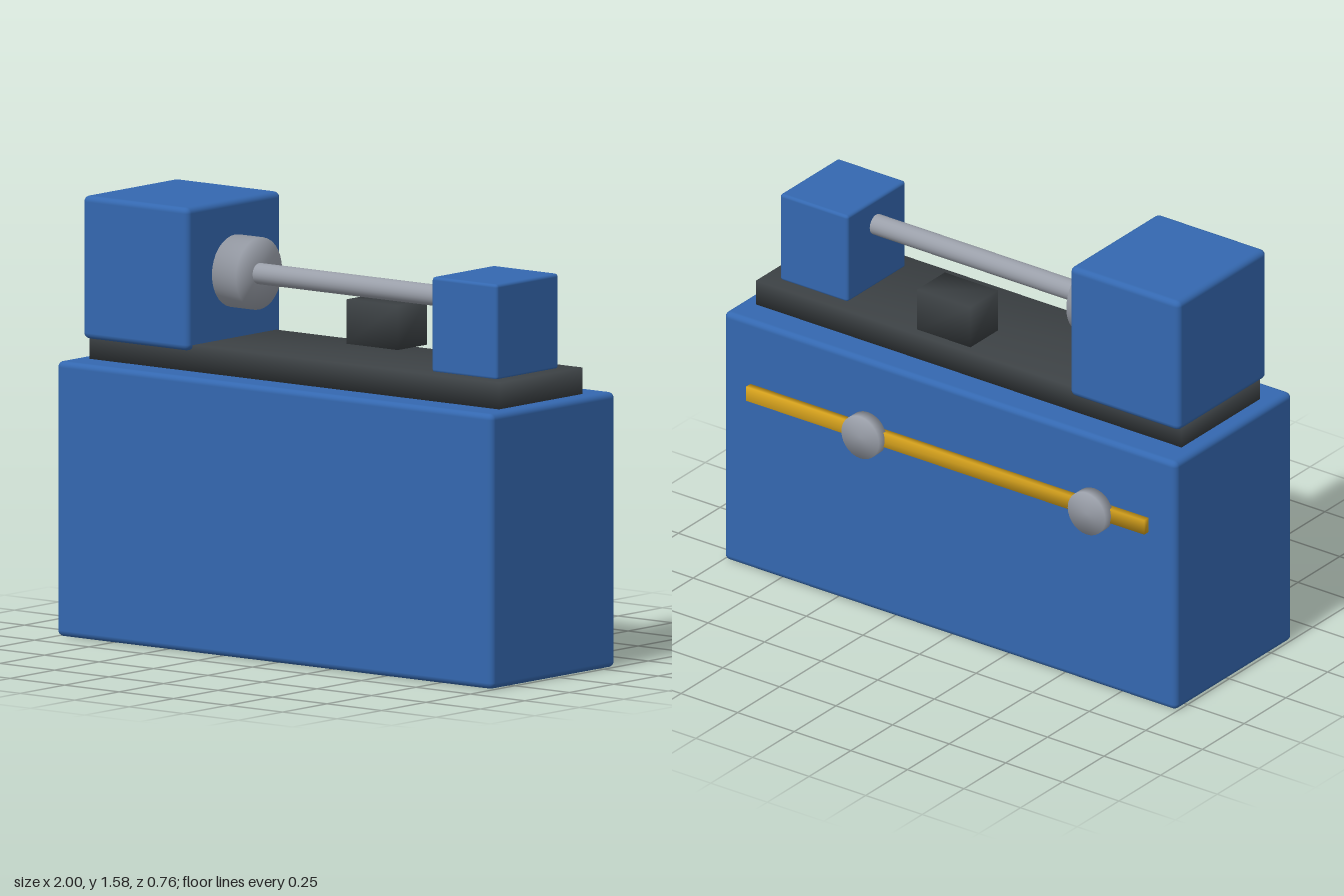
import * as THREE from 'three';
import { mergeVertices } from 'three/addons/utils/BufferGeometryUtils.js';
import { RoundedBoxGeometry } from 'three/addons/geometries/RoundedBoxGeometry.js';

function material(name, color) {
  const m = new THREE.MeshStandardMaterial({ color });
  m.name = name;
  return m;
}

// Weld corners so the shading runs smoothly over the edges
function soften(geometry) {
  geometry.deleteAttribute('normal');
  geometry.deleteAttribute('uv');
  const welded = mergeVertices(geometry, 1e-4);
  welded.computeVertexNormals();
  return welded;
}

export function createModel() {
  const blue = material('blue paint', 0x3468b0);
  const dark = material('dark iron', 0x3c4144);
  const steel = material('steel', 0x9a9fa9);
  const gold = material('brass', 0xd4a01c);
  const model = new THREE.Group();
  model.name = 'lathe';

  function add(name, geometry, mat, x, y, z) {
    const mesh = new THREE.Mesh(geometry, mat);
    mesh.name = name;
    mesh.position.set(x, y, z);
    model.add(mesh);
    return mesh;
  }

  // Boxes are given by their limits on each axis
  function box(name, mat, [x0, x1], [y0, y1], [z0, z1], radius = 0) {
    const size = [x1 - x0, y1 - y0, z1 - z0];
    const geometry = radius
      ? new RoundedBoxGeometry(...size, 2, radius)
      : soften(new THREE.BoxGeometry(...size));
    add(name, geometry, mat, (x0 + x1) / 2, (y0 + y1) / 2, (z0 + z1) / 2);
  }

  // Painted housings with rounded edges
  box('cabinet', blue, [-1, 1], [0, 0.99], [-0.32, 0.38], 0.022);
  box('headstock', blue, [-0.95, -0.465], [1.065, 1.58], [-0.235, 0.295], 0.022);
  box('tailstock', blue, [0.58, 0.88], [1.08, 1.425], [-0.145, 0.205], 0.012);

  // Bed and tool post
  box('bed', dark, [-0.94, 0.94], [0.985, 1.085], [-0.205, 0.265]);
  box('toolPost', dark, [0, 0.235], [1.1, 1.26], [-0.195, -0.03]);

  // Chuck and workpiece along x
  const chuck = soften(new THREE.CylinderGeometry(0.13, 0.13, 0.115, 32));
  add('chuck', chuck, steel, -0.4125, 1.325, 0.028).rotation.z = Math.PI / 2;
  const bar = new THREE.CylinderGeometry(0.038, 0.038, 0.98, 24);
  add('workpiece', bar, steel, 0.11, 1.325, 0.026).rotation.z = Math.PI / 2;

  // Rear rail with two hand knobs
  box('rearRail', gold, [-0.88, 0.88], [0.682, 0.738], [-0.347, -0.32]);
  for (const x of [-0.65, 0.35]) {
    const knob = soften(new THREE.CylinderGeometry(0.083, 0.083, 0.046, 28));
    add('rearKnob', knob, steel, x, 0.71, -0.358).rotation.x = Math.PI / 2;
  }
  return model;
}
